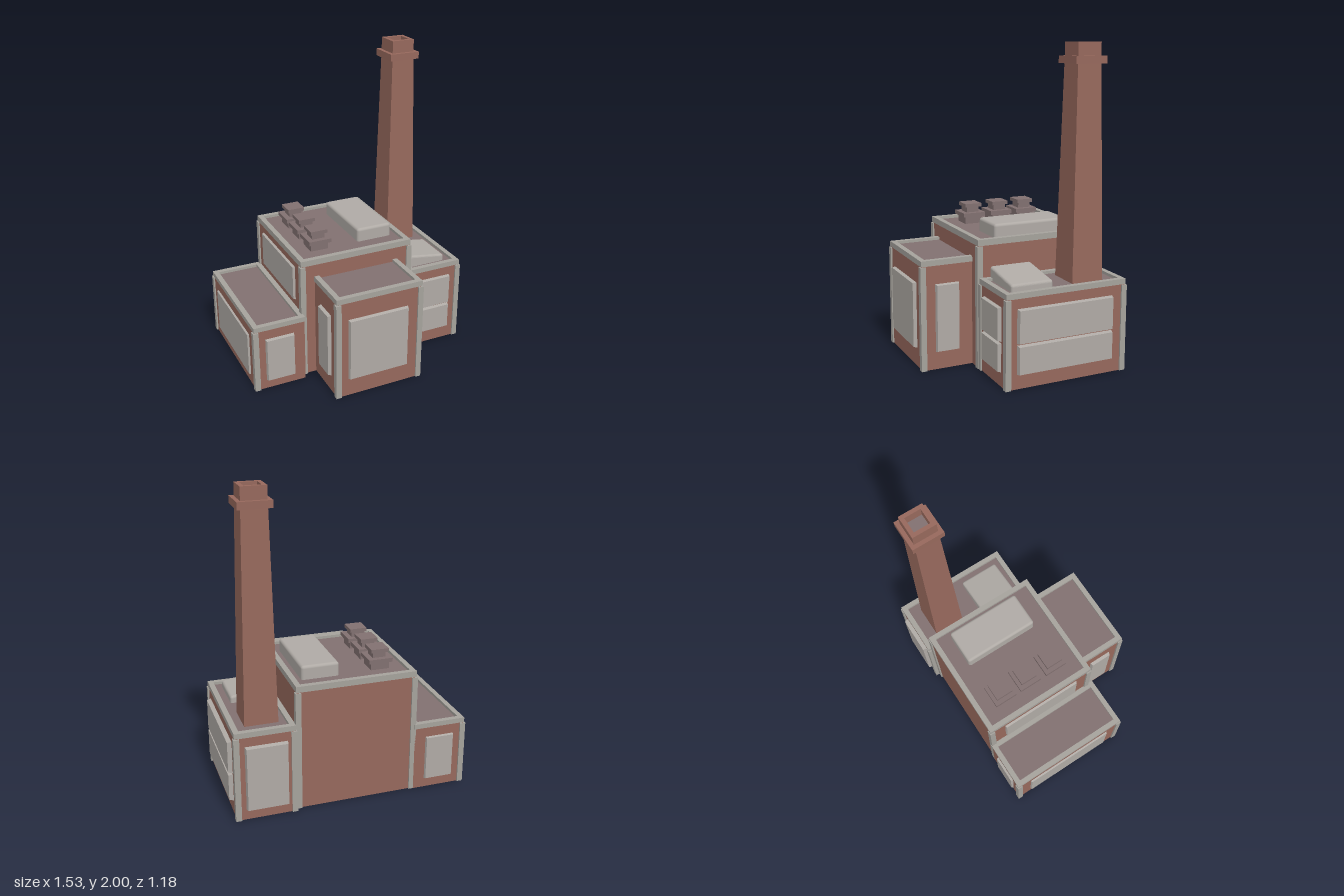
import * as THREE from 'three';
import { RoundedBoxGeometry } from 'three/addons/geometries/RoundedBoxGeometry.js';

const flat = (name, color) => {
  const m = new THREE.MeshStandardMaterial({ color });
  m.name = name;
  return m;
};

export function createModel() {
  const brick = flat('brick', 0x96685c);
  const trim = flat('trim', 0xa5a29c);
  const pane = flat('pane', 0xafaaa5);
  const roofing = flat('roofing', 0x817070);
  const model = new THREE.Group();
  model.name = 'factory';

  const add = (parent, name, geometry, material, x = 0, y = 0, z = 0) => {
    const mesh = new THREE.Mesh(geometry, material);
    mesh.name = name;
    mesh.position.set(x, y, z);
    parent.add(mesh);
    return mesh;
  };

  // Box given by its limits
  const block = (parent, name, material, x0, x1, y0, y1, z0, z1) =>
    add(parent, name, new THREE.BoxGeometry(x1 - x0, y1 - y0, z1 - z0), material,
      (x0 + x1) / 2, (y0 + y1) / 2, (z0 + z1) / 2);

  // Square ring lying flat, from y0 to y1
  const ring = (parent, name, material, x0, x1, y0, y1, z0, z1, width) => {
    const rect = (P, inset) => {
      const a = x0 + inset, b = x1 - inset, c = -z1 + inset, d = -z0 - inset;
      return new P([[a, c], [b, c], [b, d], [a, d]].map(p => new THREE.Vector2(...p)));
    };
    const shape = rect(THREE.Shape, 0);
    shape.holes.push(rect(THREE.Path, width));
    const g = new THREE.ExtrudeGeometry(shape, { depth: y1 - y0, bevelEnabled: false });
    g.rotateX(-Math.PI / 2);
    return add(parent, name, g, material, 0, y0, 0);
  };

  // Brick block with corner strips, roof and parapet rim
  const building = (name, x0, x1, z0, z1, top, rimHeight, corners) => {
    const g = new THREE.Group();
    g.name = name;
    model.add(g);
    const rimBase = top - rimHeight;
    block(g, 'walls', brick, x0, x1, 0, rimBase, z0, z1);
    block(g, 'roof', roofing, x0 + 0.02, x1 - 0.02, rimBase - 0.01, top - 0.018, z0 + 0.02, z1 - 0.02);
    ring(g, 'parapet', trim, x0 - 0.004, x1 + 0.004, rimBase, top, z0 - 0.004, z1 + 0.004, 0.034);
    const w = 0.018, out = 0.01;
    for (const [sx, sz] of corners) {
      const cx = sx < 0 ? x0 - out + w : x1 + out - w;
      const cz = sz < 0 ? z0 - out + w : z1 + out - w;
      block(g, 'cornerStrip', trim, cx - w, cx + w, 0, rimBase - 0.004, cz - w, cz + w);
    }
    return g;
  };

  // Raised panel with chamfered border; a0..a1 runs along the wall
  const panel = (parent, side, wall, a0, a1, y0, y1, depth = 0.022) => {
    const w = a1 - a0, h = y1 - y0, c = 0.008;
    const g = new THREE.BoxGeometry(w, h, depth + 0.01).toNonIndexed();
    const p = g.attributes.position;
    for (let i = 0; i < p.count; i++) {
      if (p.getZ(i) > 0) {
        p.setX(i, p.getX(i) * (1 - 2 * c / w));
        p.setY(i, p.getY(i) * (1 - 2 * c / h));
      }
    }
    g.computeVertexNormals();
    const a = (a0 + a1) / 2, y = (y0 + y1) / 2, off = depth / 2 - 0.005;
    const spots = {
      front: [a, wall + off, 0],
      back: [a, wall - off, Math.PI],
      left: [wall + off, a, Math.PI / 2],
      right: [wall - off, a, -Math.PI / 2],
    };
    const [x, z, turn] = spots[side];
    add(parent, side + 'Panel', g, pane, x, y, z).rotation.y = turn;
  };

  const all = [[-1, -1], [1, -1], [-1, 1], [1, 1]];

  // Main hall
  const hall = building('mainHall', -0.418, 0.348, -0.545, 0.232, 0.82, 0.038, all);
  panel(hall, 'right', -0.418, -0.44, 0.13, 0.5, 0.74, 0.015);

  // Front block
  const front = building('frontBlock', -0.328, 0.252, 0.2, 0.565, 0.7, 0.035, [[-1, 1], [1, 1]]);
  panel(front, 'front', 0.565, -0.255, 0.16, 0.12, 0.548);
  panel(front, 'left', 0.252, 0.32, 0.48, 0.112, 0.55);
  panel(front, 'right', -0.328, 0.32, 0.48, 0.112, 0.55);

  // Low wing on the right
  const low = building('rightWing', -0.758, -0.422, -0.555, 0.276, 0.456, 0.032, [[-1, -1], [-1, 1]]);
  panel(low, 'front', 0.276, -0.69, -0.493, 0.058, 0.362);
  panel(low, 'back', -0.555, -0.69, -0.493, 0.058, 0.362, 0.015);
  panel(low, 'right', -0.758, -0.46, 0.18, 0.058, 0.362, 0.012);

  // Chimney wing on the left
  const wing = building('leftWing', 0.366, 0.736, -0.57, 0.228, 0.585, 0.034, all);
  for (const [y0, y1] of [[0.088, 0.272], [0.277, 0.492]]) {
    panel(wing, 'front', 0.228, 0.422, 0.667, y0, y1);
    panel(wing, 'left', 0.736, -0.483, 0.163, y0, y1, 0.027);
  }
  panel(wing, 'back', -0.57, 0.41, 0.68, 0.065, 0.492, 0.028);

  // Tapered square chimney, collar and hollow mouth
  const chimney = new THREE.Group();
  chimney.name = 'chimney';
  chimney.position.set(0.546, 0, -0.357);
  model.add(chimney);
  const shaft = new THREE.CylinderGeometry(0.079 * Math.SQRT2, 0.106 * Math.SQRT2, 1.33, 4, 1).toNonIndexed();
  shaft.rotateY(Math.PI / 4);
  shaft.computeVertexNormals();
  add(chimney, 'shaft', shaft, brick, 0, 1.215, 0);
  block(chimney, 'collar', brick, -0.104, 0.104, 1.875, 1.92, -0.104, 0.104);
  ring(chimney, 'mouth', brick, -0.078, 0.078, 1.92, 2, -0.078, 0.078, 0.026);
  block(chimney, 'flueFloor', roofing, -0.053, 0.053, 1.915, 1.935, -0.053, 0.053);

  // Row of stepped roof vents
  for (const z of [-0.352, -0.164, 0.033]) {
    const vent = new THREE.Group();
    vent.name = 'roofVent';
    vent.position.set(-0.232, 0, z);
    model.add(vent);
    for (const [r, y0, y1] of [[0.06, 0.79, 0.85], [0.077, 0.85, 0.876], [0.043, 0.876, 0.912], [0.057, 0.912, 0.935]]) {
      block(vent, 'ventTier', roofing, -r, r, y0, y1, -r, r);
    }
  }

  // Rounded skylight on the hall
  add(model, 'skylight', new RoundedBoxGeometry(0.242, 0.11, 0.512, 3, 0.018), pane, 0.16, 0.835, -0.166);

  // Sloping lean-to skylight on the chimney wing
  const slope = new RoundedBoxGeometry(0.3, 0.11, 0.276, 3, 0.015);
  const sp = slope.attributes.position;
  for (let i = 0; i < sp.count; i++) {
    if (sp.getY(i) > 0) sp.setY(i, sp.getY(i) - (sp.getX(i) + 0.15) / 0.3 * 0.045);
  }
  slope.computeVertexNormals();
  add(model, 'slopedSkylight', slope, pane, 0.509, 0.6, 0.022);

  return model;
}
